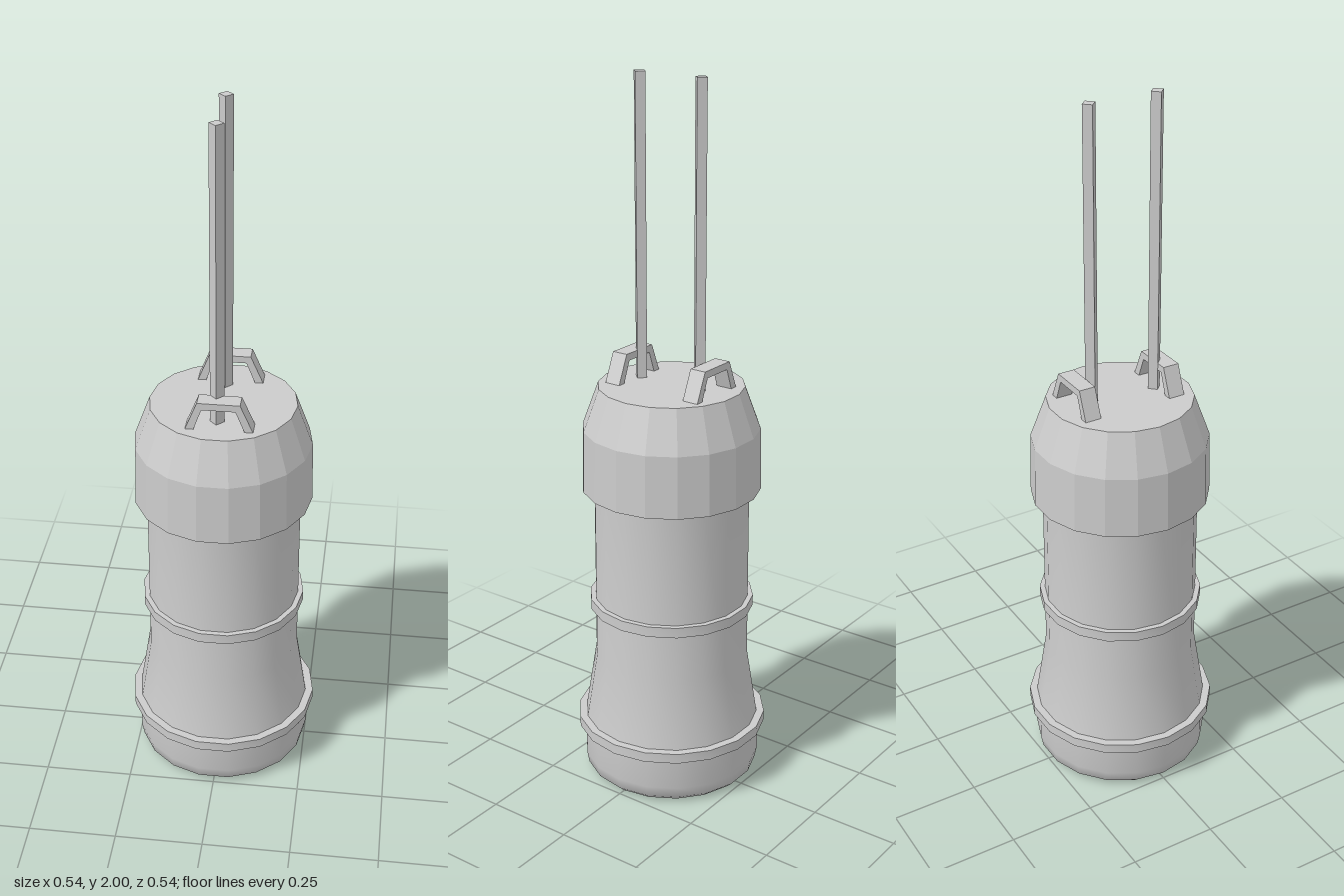
import * as THREE from 'three';
import { toCreasedNormals } from 'three/addons/utils/BufferGeometryUtils.js';

const SIDES = 18;

export function createModel() {
  const model = new THREE.Group();
  model.name = 'canister';
  const material = new THREE.MeshStandardMaterial({ color: 0xcccccc });

  const add = (name, geometry) => {
    const mesh = new THREE.Mesh(geometry, material);
    mesh.name = name;
    model.add(mesh);
    return mesh;
  };

  // Turned part from [radius, height] pairs, listed bottom to top
  const turned = (name, profile, crease = 0.6) => {
    const points = profile.map(([r, y]) => new THREE.Vector2(r, y));
    const lathe = new THREE.LatheGeometry(points, SIDES, Math.PI / 2);
    return add(name, toCreasedNormals(lathe, crease));
  };

  // Raised band with flat top and bottom
  const band = (name, inner, outer, y0, y1) =>
    turned(name, [[inner, y0], [outer, y0], [outer, y1], [inner, y1]]);

  // Rounded foot, flared lower body and straight barrel
  turned('base', [[0, 0], [0.232, 0.003], [0.248, 0.018], [0.254, 0.05], [0.254, 0.15]], 1.2);
  turned('body', [[0.254, 0.15], [0.25, 0.172], [0.219, 0.37], [0.217, 0.88]]);
  band('lowerBand', 0.24, 0.272, 0.143, 0.172);
  band('middleBand', 0.21, 0.233, 0.515, 0.545);

  // Overhanging cap with a sloped shoulder
  turned('cap', [[0.21, 0.875], [0.25, 0.875], [0.246, 1.05], [0.202, 1.17], [0, 1.17]], 0.3);

  // Trapezoid carrying handles
  const outline = new THREE.Shape([
    [-0.086, 1.165], [-0.052, 1.25], [0.062, 1.25], [0.099, 1.165],
    [0.076, 1.165], [0.05, 1.23], [-0.04, 1.23], [-0.063, 1.165],
  ].map(([x, y]) => new THREE.Vector2(x, y)));
  for (const [name, z] of [['backHandle', -0.155], ['frontHandle', 0.105]]) {
    const geometry = new THREE.ExtrudeGeometry(outline, { depth: 0.047, bevelEnabled: false });
    add(name, geometry).position.z = z;
  }

  // Tall four-sided rods
  for (const [name, z] of [['backRod', -0.091], ['frontRod', 0.105]]) {
    const geometry = toCreasedNormals(new THREE.CylinderGeometry(0.019, 0.019, 0.83, 4), 0.6);
    add(name, geometry).position.set(-0.004, 1.585, z);
  }

  return model;
}
